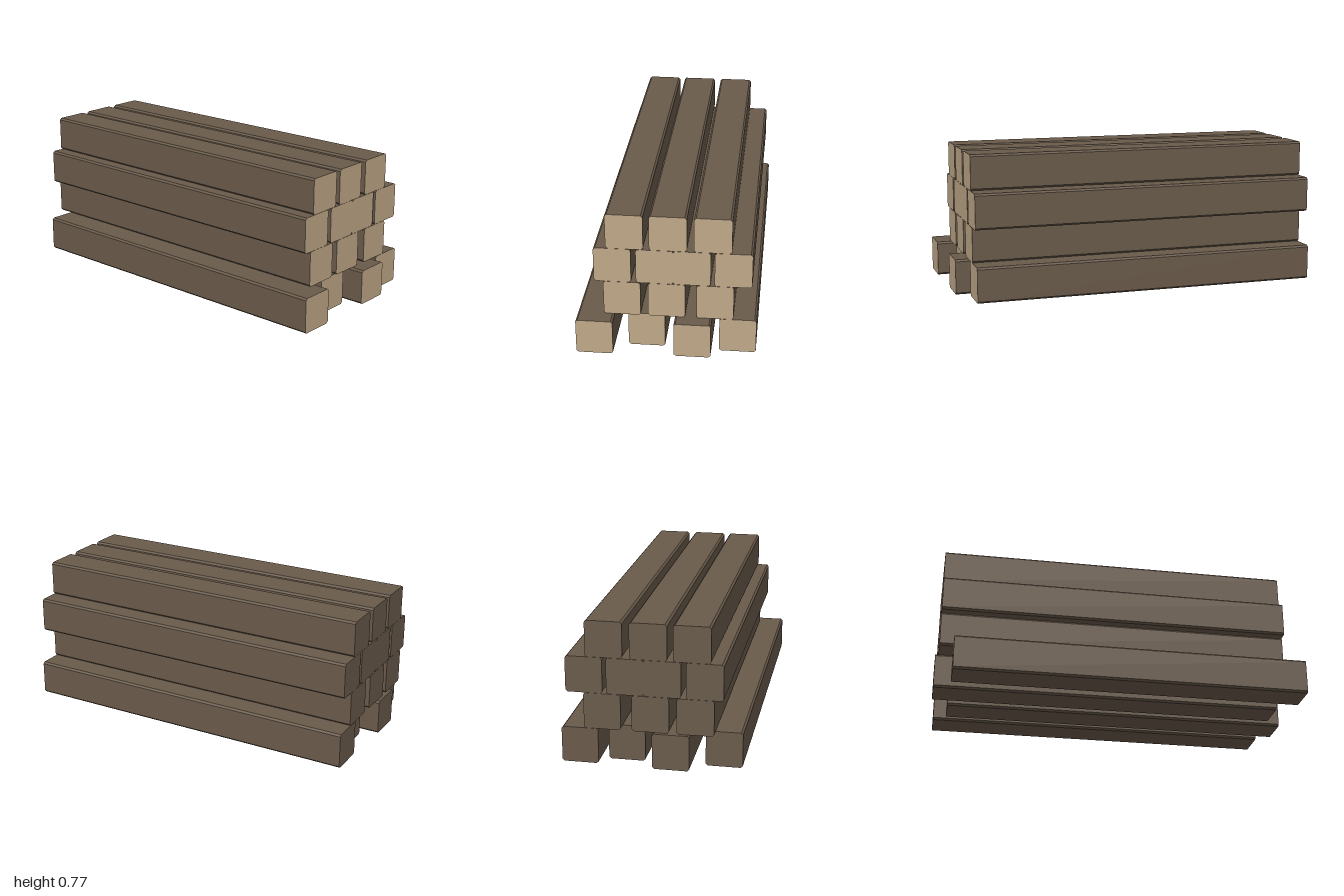
import * as THREE from 'three';

const SIZE = 0.191;   // beam width and height
const PITCH = 0.192;  // height of one layer
const CUT = 0.01;     // chamfer on the long edges

// Square section with chamfered corners, left edge at x = 0, bottom at y = 0
function beamSection() {
  const a = CUT, b = SIZE - CUT, s = SIZE;
  return new THREE.Shape([
    [a, 0], [b, 0], [s, a], [s, b], [b, s], [a, s], [0, b], [0, a],
  ].map(([x, y]) => new THREE.Vector2(x, y)));
}

function beamGeometry(length) {
  const geo = new THREE.ExtrudeGeometry(beamSection(), { depth: length, bevelEnabled: false });
  // back cap, front cap, sides: only the front cap shows the cut wood
  geo.clearGroups();
  geo.addGroup(0, 18, 0);
  geo.addGroup(18, 18, 1);
  geo.addGroup(36, 48, 0);
  return geo;
}

export function createModel() {
  const darkWood = new THREE.MeshStandardMaterial({ color: 0x6a5b4b });
  darkWood.name = 'dark wood';
  const cutWood = new THREE.MeshStandardMaterial({ color: 0xc0a888 });
  cutWood.name = 'cut wood';

  // Each layer from the ground up: [left edge x, back z, front z] of each beam
  const back = -0.983, front = 0.918;
  const layers = [
    [[-0.464, -0.91, 1], [-0.203, -1, 0.903], [0.04, -0.913, 0.99], [0.27, back, front]],
    [-0.327, -0.097, 0.151].map((x) => [x, back, front]),
    [-0.374, -0.158, 0.032, 0.243].map((x) => [x, back, front]),
    [-0.31, -0.089, 0.138].map((x) => [x, back, front]),
  ];

  const model = new THREE.Group();
  model.name = 'beamStack';
  layers.forEach((beams, row) => {
    const layer = new THREE.Group();
    layer.name = `layer${row + 1}`;
    layer.position.y = row * PITCH;
    beams.forEach(([x, z0, z1], i) => {
      const beam = new THREE.Mesh(beamGeometry(z1 - z0), [darkWood, cutWood]);
      beam.name = `beam${row + 1}_${i + 1}`;
      beam.position.set(x, 0, z0);
      layer.add(beam);
    });
    model.add(layer);
  });
  return model;
}
